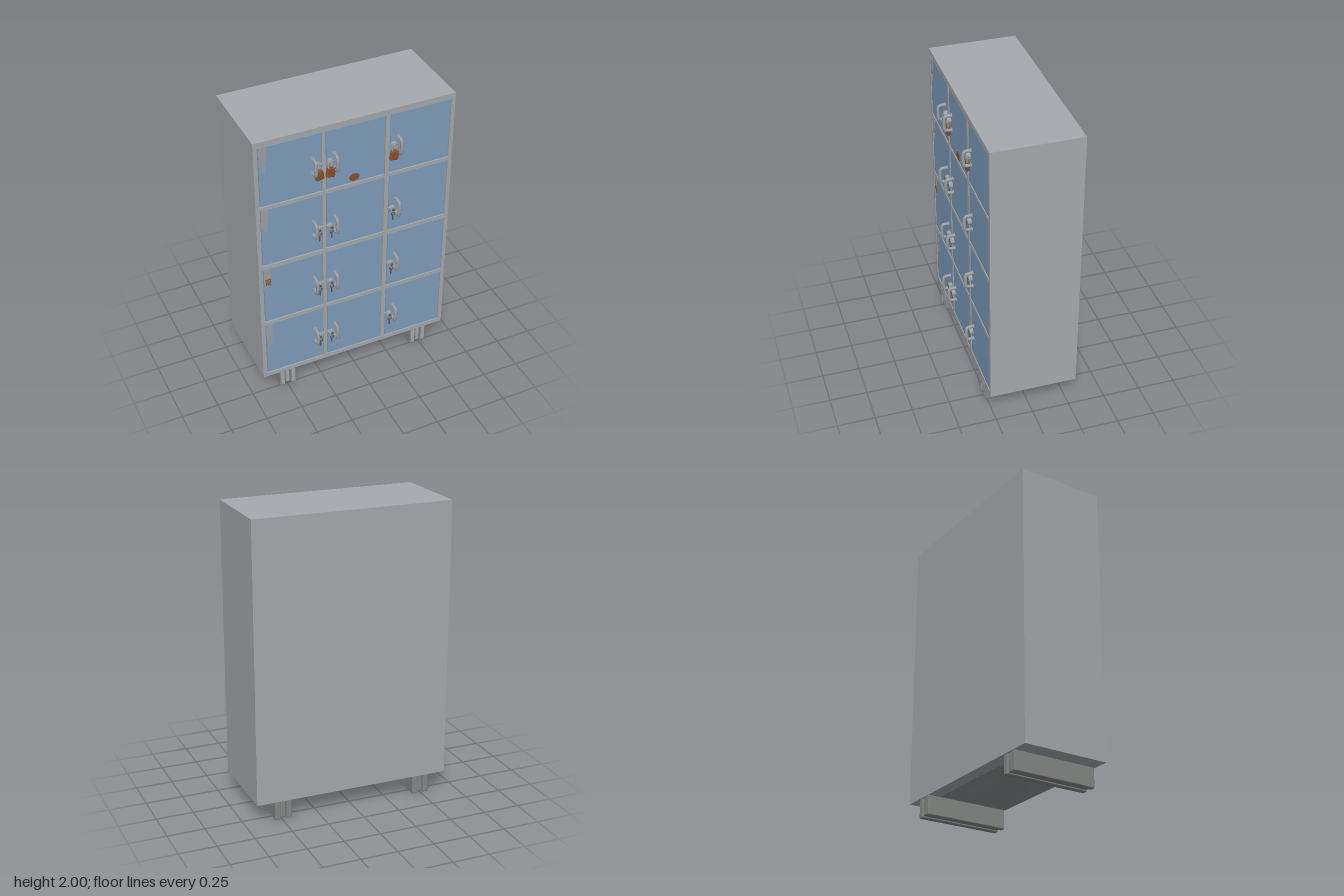
import * as THREE from 'three';
import { RoundedBoxGeometry } from 'three/addons/geometries/RoundedBoxGeometry.js';

const mat = (name, color) => {
  const m = new THREE.MeshStandardMaterial({ color });
  m.name = name;
  return m;
};

export function createModel() {
  const root = new THREE.Group();
  root.name = 'lockerCabinet';
  const grey = mat('bodyGrey', 0xa6a9ad);
  const blue = mat('doorBlue', 0x7f9cbb);
  const legGrey = mat('legGrey', 0x858886);
  const steel = mat('handleSteel', 0x9aa0a4);
  const dark = mat('keyDarkGrey', 0x5c5f61);
  const rust = mat('rust', 0x8a4f2a);
  const chipGrey = mat('chippedPaint', 0x9b9fa2);
  const sagMat = mat('undersideGrey', 0x8d9092);
  sagMat.side = THREE.DoubleSide;

  const add = (parent, name, geo, material, x = 0, y = 0, z = 0) => {
    const m = new THREE.Mesh(geo, material);
    m.name = name;
    m.position.set(x, y, z);
    parent.add(m);
    return m;
  };
  const box = (w, h, d) => new THREE.BoxGeometry(w, h, d);
  const polygon = (pts) => new THREE.Shape(pts.map(([x, y]) => new THREE.Vector2(x, y)));
  const plate = (shape, depth) => new THREE.ExtrudeGeometry(shape, { depth, bevelEnabled: false });

  const FRONT = 0.263, BACK = -0.325, RECESS = 0.243;
  const columns = [[-0.643, -0.23], [-0.206, 0.195], [0.225, 0.643]];
  const rows = [[1.53, 1.962], [1.075, 1.507], [0.611, 1.047], [0.16, 0.585]];

  // Cabinet shell and the front frame with twelve openings
  add(root, 'body', box(1.34, 1.87, RECESS - BACK), grey, 0, 1.065, (RECESS + BACK) / 2);
  const frame = polygon([[-0.67, 0.13], [0.67, 0.13], [0.67, 2], [-0.67, 2]]);
  for (const [x0, x1] of columns) for (const [y0, y1] of rows) {
    frame.holes.push(new THREE.Path([[x0, y0], [x0, y1], [x1, y1], [x1, y0]].map((p) => new THREE.Vector2(...p))));
  }
  add(root, 'frontFrame', plate(frame, FRONT - RECESS), grey, 0, 0, RECESS);

  // Handle: a steel bow standing off the door
  const bow = new THREE.CatmullRomCurve3([
    [-0.052, -0.005], [-0.052, 0.025], [-0.047, 0.044], [-0.028, 0.05],
    [0.028, 0.05], [0.047, 0.044], [0.052, 0.025], [0.052, -0.005],
  ].map(([y, z]) => new THREE.Vector3(0, y, z)));
  const bowGeo = new THREE.TubeGeometry(bow, 40, 0.011, 10);
  const footGeo = new THREE.CylinderGeometry(0.015, 0.015, 0.008, 14).rotateX(Math.PI / 2);
  const discGeo = new THREE.CylinderGeometry(0.021, 0.023, 0.026, 18).rotateX(Math.PI / 2);
  const coreGeo = new THREE.CylinderGeometry(0.01, 0.01, 0.006, 12).rotateX(Math.PI / 2);
  const ringGeo = new THREE.TorusGeometry(0.012, 0.0035, 6, 16);
  const shackleGeo = new THREE.TorusGeometry(0.019, 0.005, 8, 16, Math.PI);
  const padGeo = new RoundedBoxGeometry(0.058, 0.07, 0.024, 3, 0.01);

  const fittings = (parent, s, rusty) => {
    add(parent, 'handle', bowGeo, steel);
    for (const y of [-0.052, 0.052]) add(parent, 'handleFoot', footGeo, steel, 0, y, 0.003);
    add(parent, 'hasp', box(0.05, 0.016, 0.01), steel, s * 0.036, -0.005, 0.005);
    if (rusty) {
      add(parent, 'haspStaple', discGeo, steel, s * 0.03, 0.004, 0.01);
      for (const x of [-0.019, 0.019]) {
        add(parent, 'shackleLeg', new THREE.CylinderGeometry(0.005, 0.005, 0.035, 8), steel, s * 0.03 + x, -0.02, 0.022);
      }
      add(parent, 'shackle', shackleGeo, steel, s * 0.03, -0.003, 0.022);
      add(parent, 'padlock', padGeo, rust, s * 0.033, -0.065, 0.018).rotation.z = s * 0.18;
    } else {
      add(parent, 'lock', discGeo, steel, s * 0.03, -0.012, 0.012);
      add(parent, 'lockCore', coreGeo, dark, s * 0.03, -0.012, 0.026);
      add(parent, 'lockTab', box(0.02, 0.012, 0.014), steel, s * 0.052, 0, 0.012);
      add(parent, 'keyRing', ringGeo, dark, s * 0.03, -0.043, 0.022);
      add(parent, 'key', box(0.008, 0.045, 0.006), dark, s * 0.03, -0.073, 0.02);
    }
  };

  // Doors with their handles and locks
  const handles = [[-0.29, 1], [-0.148, -1], [0.283, -1]];
  const handleY = [1.735, 1.262, 0.812, 0.368];
  const gap = 0.005;
  rows.forEach(([y0, y1], r) => columns.forEach(([x0, x1], c) => {
    add(root, 'door', box(x1 - x0 - 2 * gap, y1 - y0 - 2 * gap, 0.017), blue,
      (x0 + x1) / 2, (y0 + y1) / 2, RECESS + 0.0085);
    const g = new THREE.Group();
    g.name = 'doorFittings';
    g.position.set(handles[c][0], handleY[r], 0.26);
    fittings(g, handles[c][1], r === 0);
    root.add(g);
  }));

  // Chipped paint in the upper left corner of each left door
  [0.17, 0.155, 0.14, 0.165].forEach((h, r) => {
    const w = 0.05;
    const chip = polygon([[0, 0], [0, -h * 0.72], [w * 0.25, -h * 0.78], [w * 0.2, -h], [w * 0.75, -h],
      [w * 0.8, -h * 0.7], [w * 0.65, -h * 0.62], [w, -h * 0.5], [w * 0.9, -h * 0.2], [w, 0]]);
    add(root, 'paintChip', plate(chip, 0.002), chipGrey, -0.636, rows[r][1] - 0.01, 0.26);
  });

  // Rust marks: a speckled patch and a round stain
  for (let i = 0; i < 3; i++) for (let j = 0; j < 4; j++) {
    add(root, 'rustSpeck', box(0.009, 0.009, 0.002), rust, -0.621 + i * 0.013, 0.92 + j * 0.013, 0.263);
  }
  const stain = [];
  for (let i = 0; i < 20; i++) {
    const a = i * Math.PI / 10, q = 0.031 + 0.003 * Math.sin(i * 2.3);
    stain.push([q * Math.cos(a) * 1.1, q * Math.sin(a) * 0.9]);
  }
  add(root, 'rustStain', plate(polygon(stain), 0.002), rust, -0.013, 1.572, 0.26);

  // Feet: three beams side by side, the middle one set back
  for (const cx of [-0.496, 0.489]) {
    const foot = new THREE.Group();
    foot.name = 'foot';
    foot.position.set(cx, 0, -0.029);
    for (const [x, w, inset] of [[-0.039, 0.039, 0], [0, 0.036, 0.008], [0.039, 0.039, 0]]) {
      const h = 0.135 - inset, d = 0.582 - 2 * inset;
      add(foot, 'footBeam', new RoundedBoxGeometry(w, h, d, 2, 0.008), legGrey, x, inset + h / 2, 0);
      add(foot, 'footEnd', box(w - 0.014, h - 0.02, 0.004), grey, x, inset + h / 2, d / 2);
    }
    root.add(foot);
  }

  // Sagging bottom panel
  const sag = new THREE.PlaneGeometry(0.7, 0.5, 40, 20).rotateX(Math.PI / 2);
  const p = sag.attributes.position;
  const ease = (t) => THREE.MathUtils.smoothstep(t, 0, 1);
  for (let i = 0; i < p.count; i++) {
    const fx = ease((0.34 - Math.abs(p.getX(i))) / 0.24);
    const fz = ease((0.25 - Math.abs(p.getZ(i))) / 0.2);
    p.setY(i, -0.034 * fx * fz);
  }
  sag.computeVertexNormals();
  add(root, 'saggingBottom', sag, sagMat, 0.065, 0.129, 0.01);

  return root;
}
